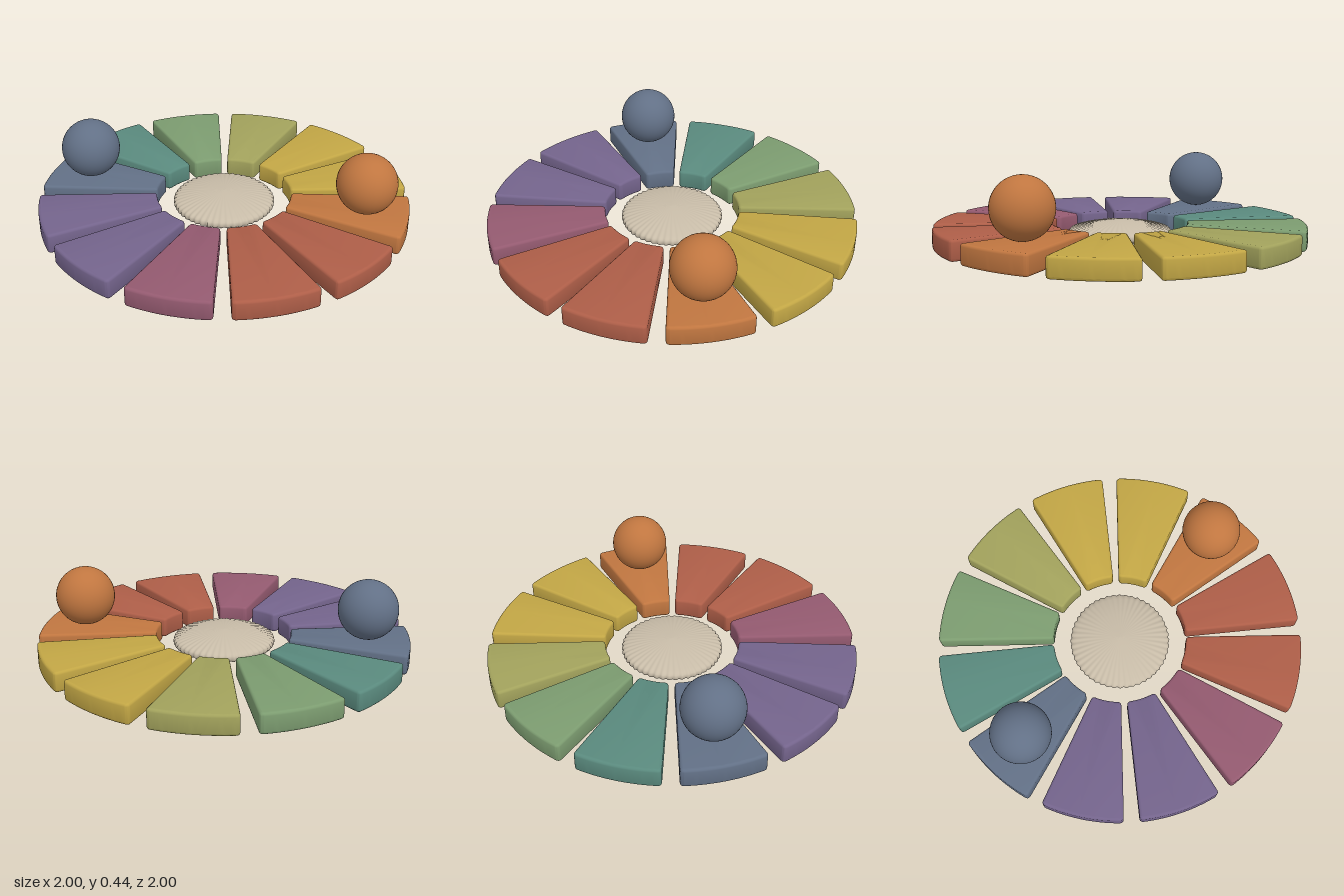
import * as THREE from 'three';
import { toCreasedNormals } from 'three/addons/utils/BufferGeometryUtils.js';

const mat = (name, color) => {
  const m = new THREE.MeshStandardMaterial({ color });
  m.name = name;
  return m;
};

const RAD = Math.PI / 180;
const TURN = 3 * RAD;

// Ring segment with slightly rounded corners and bevelled edges, centred on +x
function wedgeGeometry() {
  const r0 = 0.365, r1 = 1, half = 12.6 * RAD, c = 0.022, b = 0.014;
  const at = (r, a) => [r * Math.cos(a), r * Math.sin(a)];
  const s = new THREE.Shape();
  s.moveTo(...at(r0 + c, -half));
  s.lineTo(...at(r1 - c, -half));
  s.quadraticCurveTo(...at(r1, -half), ...at(r1, -half + c / r1));
  s.absarc(0, 0, r1, -half + c / r1, half - c / r1, false);
  s.quadraticCurveTo(...at(r1, half), ...at(r1 - c, half));
  s.lineTo(...at(r0 + c, half));
  s.quadraticCurveTo(...at(r0, half), ...at(r0, half - c / r0));
  s.absarc(0, 0, r0, half - c / r0, -half + c / r0, true);
  s.quadraticCurveTo(...at(r0, -half), ...at(r0 + c, -half));
  const g = new THREE.ExtrudeGeometry(s, {
    depth: 0.108 - 2 * b, bevelEnabled: true, bevelThickness: b, bevelSize: b,
    bevelOffset: -b, bevelSegments: 3, curveSegments: 10,
  });
  g.rotateX(-Math.PI / 2);
  g.translate(0, 0.005 + b, 0);
  return toCreasedNormals(g, 0.6);
}

// Shallow lens with fine flutes that deepen towards its rim
function hubGeometry() {
  const flutes = 48, R = 0.272, mid = 0.059;
  const upper = [[1, 0.006], [0.985, 0.014], [0.95, 0.021], [0.88, 0.028],
    [0.7, 0.04], [0.5, 0.049], [0.25, 0.056], [0, 0.059]];
  const profile = [...upper.map(([r, y]) => [r, -y]).reverse(), ...upper]
    .map(([r, y]) => new THREE.Vector2(r * R, mid + y));
  const g = new THREE.LatheGeometry(profile, flutes * 6);
  const p = g.attributes.position;
  for (let i = 0; i < p.count; i++) {
    const x = p.getX(i), z = p.getZ(i), r = Math.hypot(x, z) / R;
    const wave = Math.cos(Math.atan2(z, x) * flutes) * Math.pow(r, 3);
    const k = 1 + 0.013 * wave;
    p.setXYZ(i, x * k, mid + (p.getY(i) - mid) * (1 + 0.06 * wave), z * k);
  }
  g.computeVertexNormals();
  return g;
}

export function createModel() {
  const model = new THREE.Group();
  model.name = 'colourWheel';

  const orange = mat('orange', 0xc07640);
  const yellow = mat('yellow', 0xc2a645);
  const olive = mat('olive', 0xa2a25c);
  const green = mat('green', 0x7c9c70);
  const teal = mat('teal', 0x5a8a7e);
  const slate = mat('slate', 0x627086);
  const purple = mat('purple', 0x74648c);
  const plum = mat('plum', 0x945a70);
  const red = mat('red', 0xae5e48);
  const cream = mat('cream', 0xc8bca8);

  // Twelve wedges, anticlockwise from the +x side
  const order = [orange, yellow, yellow, olive, green, teal,
    slate, purple, purple, plum, red, red];
  // the olive wedge sits at the back, so the two yellows fill the step before it
  const wedge = wedgeGeometry();
  order.forEach((m, i) => {
    const mesh = new THREE.Mesh(wedge, m);
    mesh.name = 'wedge' + (i + 1);
    mesh.rotation.y = TURN + i * 30 * RAD;
    model.add(mesh);
  });

  // Fluted centre disc
  const hub = new THREE.Mesh(hubGeometry(), cream);
  hub.name = 'centreDisc';
  model.add(hub);

  // Two balls resting on opposite wedges
  const ball = new THREE.SphereGeometry(0.16, 40, 28);
  [[orange, 'orangeBall', 1], [slate, 'slateBall', -1]].forEach(([m, name, side]) => {
    const mesh = new THREE.Mesh(ball, m);
    mesh.name = name;
    mesh.position.set(side * 0.769 * Math.cos(TURN), 0.275, -side * 0.769 * Math.sin(TURN));
    model.add(mesh);
  });

  return model;
}
